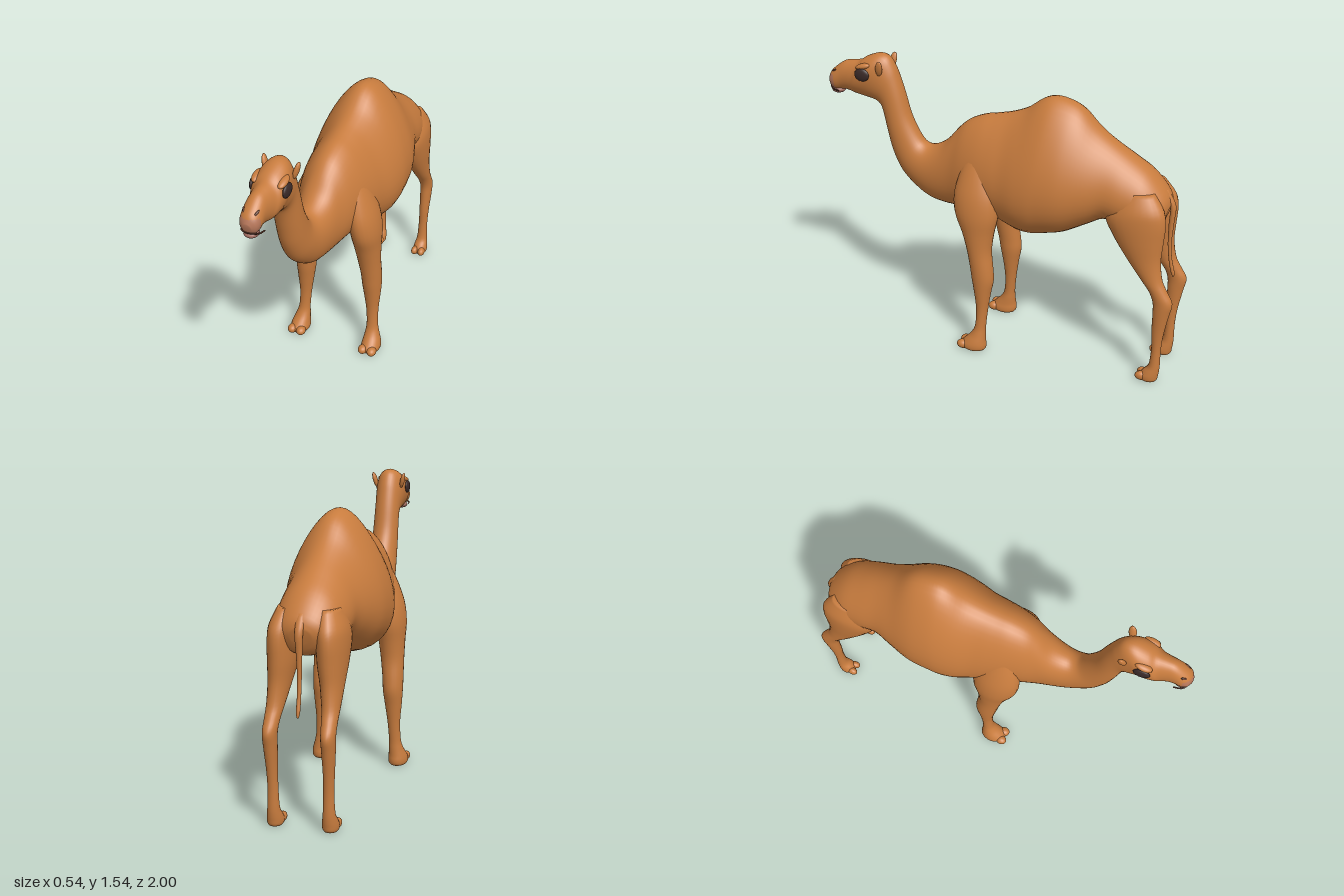
import * as THREE from 'three';

const mat = (name, color) => Object.assign(new THREE.MeshStandardMaterial({ color }), { name });

// Smooth interpolation through the rows of a section list
function refine(rows, steps) {
  const out = [];
  const at = i => rows[Math.min(rows.length - 1, Math.max(0, i))];
  for (let i = 0; i < rows.length - 1; i++) {
    for (let s = 0; s < steps; s++) {
      const t = s / steps, t2 = t * t, t3 = t2 * t;
      out.push(rows[i].map((b, c) => {
        const a = at(i - 1)[c], d = at(i + 1)[c], e = at(i + 2)[c];
        return 0.5 * (2 * b + (d - a) * t + (2 * a - 5 * b + 4 * d - e) * t2 + (3 * b - a - 3 * d + e) * t3);
      }));
    }
  }
  out.push(rows[rows.length - 1]);
  return out;
}

// Loft of egg-shaped rings; row = [z1, y1, z2, y2, halfWidth, egg, x]
// where (z1, y1) and (z2, y2) are the two outline points of the ring.
// isPatch(y, z) sends faces to the second material.
function loft(rows, seg, isPatch) {
  const rings = refine(rows, 4), pos = [], plain = [], patch = [];
  for (const [z1, y1, z2, y2, w, k, x] of rings) {
    for (let j = 0; j < seg; j++) {
      const a = j / seg * Math.PI * 2, c = Math.cos(a);
      pos.push(x + w * Math.sin(a) * (1 - k * c),
        (y1 + y2) / 2 + (y1 - y2) / 2 * c, (z1 + z2) / 2 + (z1 - z2) / 2 * c);
    }
  }
  const first = pos.length / 3, last = rings.length - 1;
  for (const r of [rings[0], rings[last]]) pos.push(r[6], (r[1] + r[3]) / 2, (r[0] + r[2]) / 2);
  const face = (...f) => {
    const mean = o => f.reduce((s, i) => s + pos[i * 3 + o], 0) / 3;
    (isPatch && isPatch(mean(1), mean(2)) ? patch : plain).push(...f);
  };
  for (let j = 0; j < seg; j++) {
    const n = (j + 1) % seg;
    for (let i = 0; i < last; i++) {
      const a = i * seg + j, b = i * seg + n;
      face(a, a + seg, b);
      face(b, a + seg, b + seg);
    }
    face(first, j, n);
    face(first + 1, last * seg + n, last * seg + j);
  }
  const g = new THREE.BufferGeometry();
  g.setAttribute('position', new THREE.Float32BufferAttribute(pos, 3));
  g.setIndex([...plain, ...patch]);
  g.addGroup(0, plain.length, 0);
  if (patch.length) g.addGroup(plain.length, patch.length, 1);
  g.computeVertexNormals();
  return g;
}

// Spine outline: top z, top y, bottom z, bottom y, half width, egg
const torso = [
  [-.925, .97, -.905, .9, .05, 0], [-.905, 1.03, -.87, .84, .11, 0],
  [-.82, 1.126, -.78, .82, .16, .1], [-.716, 1.195, -.69, .835, .175, .2],
  [-.61, 1.26, -.6, .845, .18, .25], [-.53, 1.32, -.51, .8, .205, .3],
  [-.45, 1.4, -.42, .75, .23, .35], [-.38, 1.435, -.36, .725, .243, .35],
  [-.3, 1.447, -.28, .705, .248, .35], [-.234, 1.425, -.22, .694, .247, .35],
  [-.154, 1.366, -.15, .697, .238, .3], [-.073, 1.33, -.07, .72, .215, .28],
  [.007, 1.308, 0, .745, .2, .25], [.087, 1.29, .1, .757, .18, .2],
  [.168, 1.254, .19, .757, .155, .15], [.23, 1.2, .29, .751, .125, .1],
  [.3, 1.12, .4, .767, .105, 0], [.37, 1.077, .489, .82, .09, 0],
];
const neckAndHead = [
  [.42, 1.072, .57, .9, .082, 0], [.46, 1.104, .623, 1.008, .076, 0],
  [.516, 1.21, .65, 1.115, .072, 0], [.553, 1.34, .676, 1.233, .069, 0],
  [.578, 1.42, .7, 1.272, .07, 0], [.6, 1.478, .74, 1.286, .075, 0],
  [.634, 1.53, .785, 1.293, .08, 0], [.687, 1.543, .82, 1.3, .086, 0],
  [.757, 1.52, .85, 1.306, .08, 0], [.8, 1.494, .875, 1.312, .066, 0],
  [.85, 1.485, .9, 1.314, .057, 0], [.9, 1.474, .922, 1.312, .053, 0],
  [.955, 1.436, .95, 1.308, .052, 0], [.983, 1.408, .975, 1.314, .042, 0],
  [.998, 1.375, .99, 1.335, .02, 0],
];

// Legs from top to sole: front z, back z, y, x, half width
const frontLeg = [
  [.14, 0, 1.1, .12, .04], [.17, -.03, 1, .145, .06], [.19, -.055, .9, .165, .075],
  [.18, -.057, .8, .178, .077], [.14, -.036, .7, .182, .07], [.11, -.025, .6, .188, .062],
  [.09, -.036, .5, .195, .056], [.08, -.04, .43, .197, .053], [.066, -.025, .35, .2, .045],
  [.055, -.01, .25, .203, .034], [.06, 0, .15, .208, .032], [.08, 0, .1, .212, .039],
  [.115, -.002, .06, .217, .048], [.137, -.005, .035, .218, .053],
  [.138, -.003, .015, .218, .052], [.125, .005, .004, .218, .044],
];
const hindLeg = [
  [-.68, -.86, 1.05, .1, .05], [-.64, -.915, .97, .115, .07], [-.62, -.93, .9, .12, .075],
  [-.67, -.925, .8, .122, .07], [-.74, -.92, .7, .128, .056], [-.82, -.935, .6, .135, .044],
  [-.868, -.965, .54, .139, .038], [-.895, -.997, .48, .142, .035], [-.9, -.985, .41, .142, .033],
  [-.9, -.965, .3, .14, .028], [-.905, -.955, .2, .138, .026], [-.897, -.955, .1, .138, .03],
  [-.87, -.953, .06, .138, .037], [-.853, -.95, .035, .138, .041],
  [-.85, -.947, .015, .138, .04], [-.86, -.94, .004, .138, .034],
];

export function createModel() {
  const model = new THREE.Group();
  const coat = mat('coat', 0xc87c3e), nose = mat('muzzle skin', 0xb7775a);
  const lip = mat('lip', 0xa56f62), dark = mat('eye dark', 0x3a2a28), line = mat('mouth line', 0x5e3626);

  const add = (name, geo, material) => {
    const m = new THREE.Mesh(geo, material);
    m.name = name;
    model.add(m);
    return m;
  };
  const blob = (name, material, p, r, rot = [0, 0, 0]) => {
    const m = add(name, new THREE.SphereGeometry(1, 20, 14), material);
    m.position.set(...p);
    m.scale.set(...r);
    m.rotation.set(...rot);
  };

  // Body, hump, neck and head in one skin with a bare muzzle
  const spine = [...torso, ...neckAndHead].map(r => [...r, 0]);
  add('body', loft(spine, 40, (y, z) => z > .95 && y < 1.4), [coat, nose]);

  // Lower lip and mouth line
  blob('lowerLip', lip, [0, 1.308, .95], [.037, .021, .038]);
  const mouth = new THREE.CatmullRomCurve3([[-.05, 1.312, .92], [-.043, 1.322, .965], [0, 1.329, .988],
    [.043, 1.322, .965], [.05, 1.312, .92]].map(p => new THREE.Vector3(...p)));
  add('mouthLine', new THREE.TubeGeometry(mouth, 24, .004, 6), line);

  // Tail, tapering to the tip
  const tail = [[-.87, -.9, 1.04, .02], [-.915, -.945, .96, .02], [-.915, -.942, .86, .015],
    [-.917, -.937, .75, .011], [-.927, -.945, .66, .01], [-.942, -.962, .59, .01], [-.953, -.963, .562, .005]];
  add('tail', loft(tail.map(([b, f, y, w]) => [b, y, f, y, w, 0, 0]), 14), coat);

  for (const [side, s] of [['left', 1], ['right', -1]]) {
    // Legs with two toes each
    for (const [name, rows, toeZ, toeR] of [['FrontLeg', frontLeg, .122, .027], ['HindLeg', hindLeg, -.864, .021]]) {
      add(side + name, loft(rows.map(([f, b, y, x, w]) => [f, y, b, y, w, 0, s * x]), 24), coat);
      const footX = rows[rows.length - 1][3];
      for (const t of [-1, 1]) {
        blob(side + name + 'Toe', coat, [s * footX + t * toeR * .95, .027, toeZ], [toeR, .025, .033], [0, t * .15, 0]);
      }
    }
    // Face
    blob(side + 'Eye', dark, [s * .084, 1.437, .757], [.014, .035, .043]);
    blob(side + 'Brow', coat, [s * .066, 1.478, .757], [.022, .016, .045], [.25, 0, 0]);
    blob(side + 'Ear', coat, [s * .08, 1.482, .655], [.013, .045, .02], [-.2, 0, -s * .25]);
    blob(side + 'Nostril', line, [s * .033, 1.421, .952], [.006, .006, .017], [.55, -s * .35, 0]);
  }
  return model;
}
